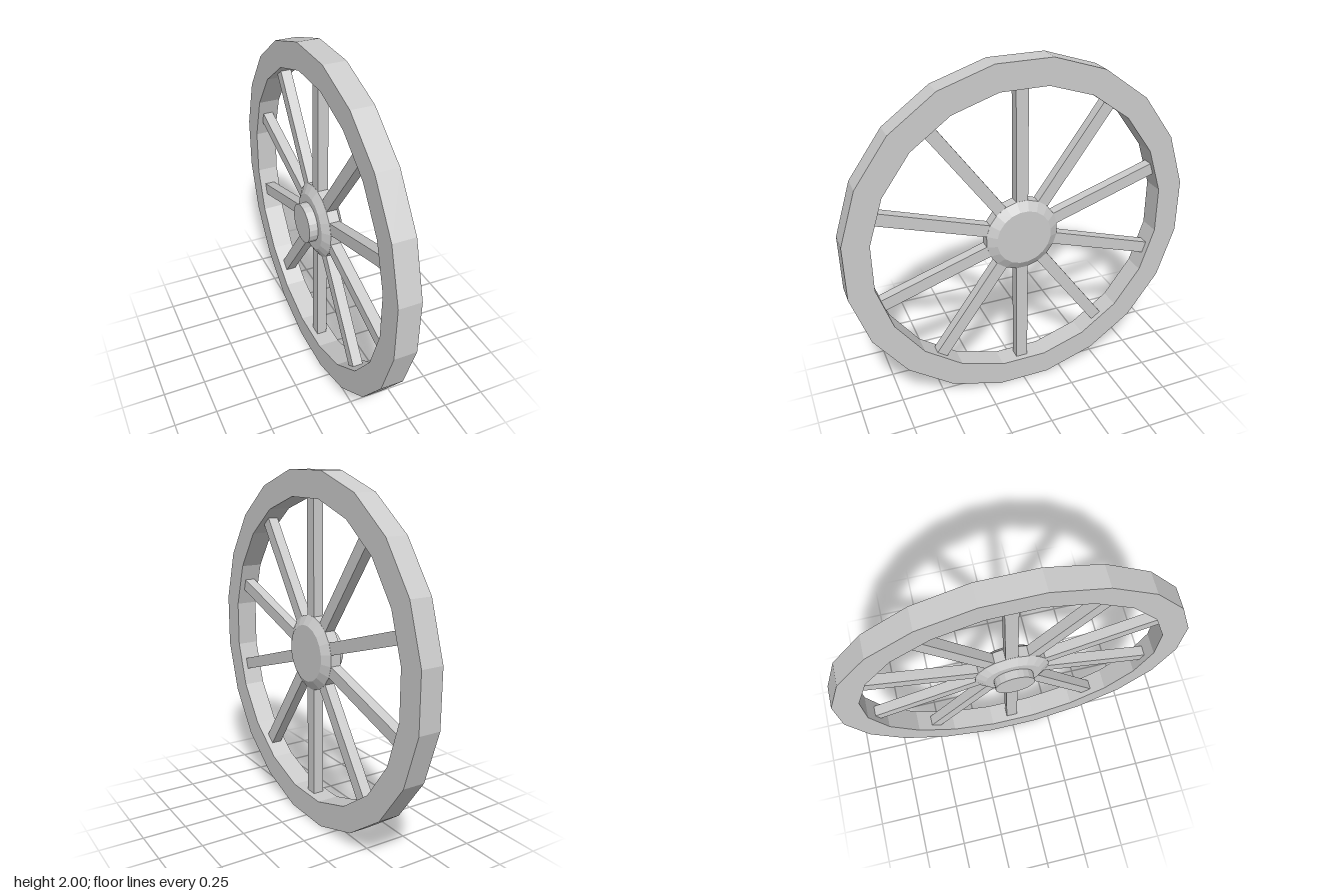
import * as THREE from 'three';

const SIDES = 20;
const SPOKES = 10;
const STEP = Math.PI / SIDES;

export function createModel() {
  const wheel = new THREE.Group();
  wheel.name = 'wheel';
  const material = new THREE.MeshStandardMaterial({ color: 0xcccccc, flatShading: true });

  const add = (name, geometry) => {
    const mesh = new THREE.Mesh(geometry, material);
    mesh.name = name;
    mesh.position.y = 1;
    wheel.add(mesh);
    return mesh;
  };

  // Turns a profile of [apothem, x] pairs about the axle, with flats at top and bottom
  const turned = (profile) => {
    const points = profile.map(([r, x]) => new THREE.Vector2(r / Math.cos(STEP), x));
    return new THREE.LatheGeometry(points, SIDES, STEP).rotateZ(-Math.PI / 2);
  };

  // Rim: a closed rectangular section
  add('rim', turned([[0.855, -0.042], [1, -0.042], [1, 0.085], [0.855, 0.085], [0.855, -0.042]]));

  // Hub: a drum bevelled on both faces
  add('hub', turned([[0, -0.042], [0.16, -0.042], [0.212, -0.01], [0.212, 0.052], [0.16, 0.084], [0, 0.084]]));

  // Axle stub on the inner side
  add('axleStub', turned([[0, -0.092], [0.113, -0.092], [0.113, -0.03], [0, -0.03]]));

  // Spokes, running from inside the hub into the rim
  const spoke = new THREE.BoxGeometry(0.06, 0.72, 0.07).translate(0.021, 0.51, 0);
  for (let i = 0; i < SPOKES; i++) {
    add(`spoke${i + 1}`, spoke).rotation.x = (i * 2 * Math.PI) / SPOKES;
  }

  return wheel;
}
